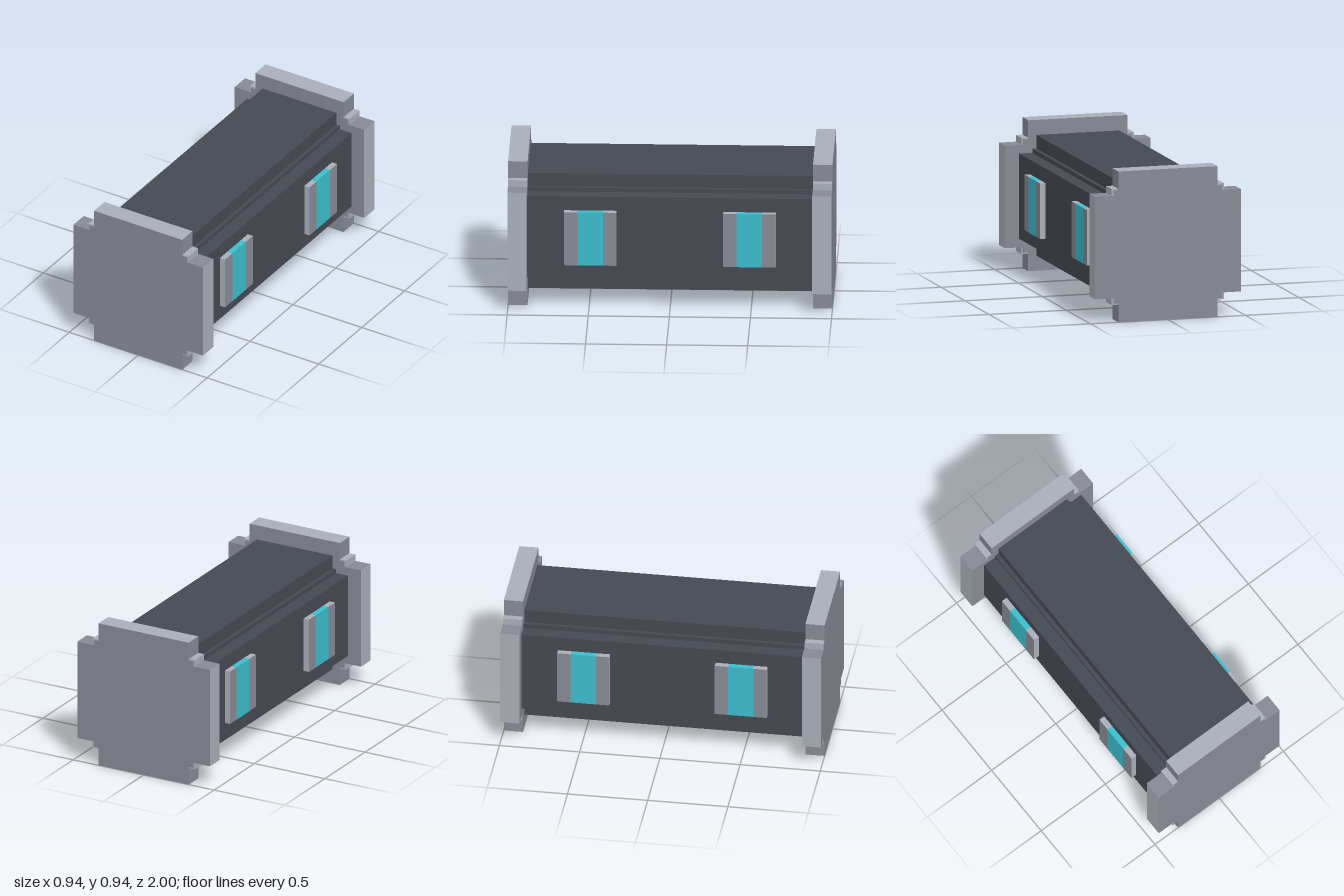
import * as THREE from 'three';

const mat = (name, color) => new THREE.MeshStandardMaterial({ name, color });

export function createModel() {
  const dark = mat('darkMetal', 0x454951);
  const grey = mat('midGrey', 0x868a94);
  const light = mat('lightGrey', 0xa8aeb8);
  const cyan = mat('cyanGlow', 0x3cbccc);
  const CY = 0.472; // height of the long axis

  const model = new THREE.Group();
  model.name = 'container';

  // Box centred at x, y, z; material may be an array (+x, -x, +y, -y, +z, -z)
  function box(parent, name, size, pos, material) {
    const m = new THREE.Mesh(new THREE.BoxGeometry(...size), material);
    m.name = name;
    m.position.set(...pos);
    parent.add(m);
    return m;
  }

  // Body: two crossed slabs with a square core that steps the corner grooves
  const body = new THREE.Group();
  body.name = 'body';
  model.add(body);
  const bodyLen = 1.77;
  box(body, 'uprightSlab', [0.534, 0.756, bodyLen], [0, CY, 0], dark);
  box(body, 'flatSlab', [0.756, 0.534, bodyLen], [0, CY, 0], dark);
  box(body, 'grooveCore', [0.586, 0.586, bodyLen], [0, CY, 0], dark);

  // End caps: the same stepped cross, with pale outer rims
  for (const s of [1, -1]) {
    const cap = new THREE.Group();
    cap.name = s > 0 ? 'frontCap' : 'backCap';
    cap.position.set(0, CY, s * 0.94);
    model.add(cap);
    const depth = 0.12;
    box(cap, 'uprightPlate', [0.64, 0.944, depth], [0, 0, 0], [grey, grey, light, light, grey, grey]);
    box(cap, 'sidePlate', [0.94, 0.641, depth], [0, 0, 0], [light, light, grey, grey, grey, grey]);
    box(cap, 'cornerStep', [0.724, 0.726, depth - 0.003], [0, 0, 0], light);
    box(cap, 'cornerFace', [0.704, 0.708, depth], [0, 0, 0], grey);
  }

  // Side panels: a glowing strip between two grey frame bars
  for (const sx of [1, -1]) {
    for (const sz of [1, -1]) {
      const panel = new THREE.Group();
      panel.name = (sz > 0 ? 'front' : 'back') + (sx > 0 ? 'Left' : 'Right') + 'Panel';
      panel.position.set(sx * 0.39, 0.474, sz * 0.491);
      model.add(panel);
      const w = 0.05, h = 0.348;
      box(panel, 'lightStrip', [w, h, 0.158], [0, 0, 0], cyan);
      for (const e of [1, -1]) {
        box(panel, 'frameBar', [w, h, 0.083], [0, 0, e * 0.1205], [grey, grey, light, dark, light, light]);
      }
    }
  }
  return model;
}
